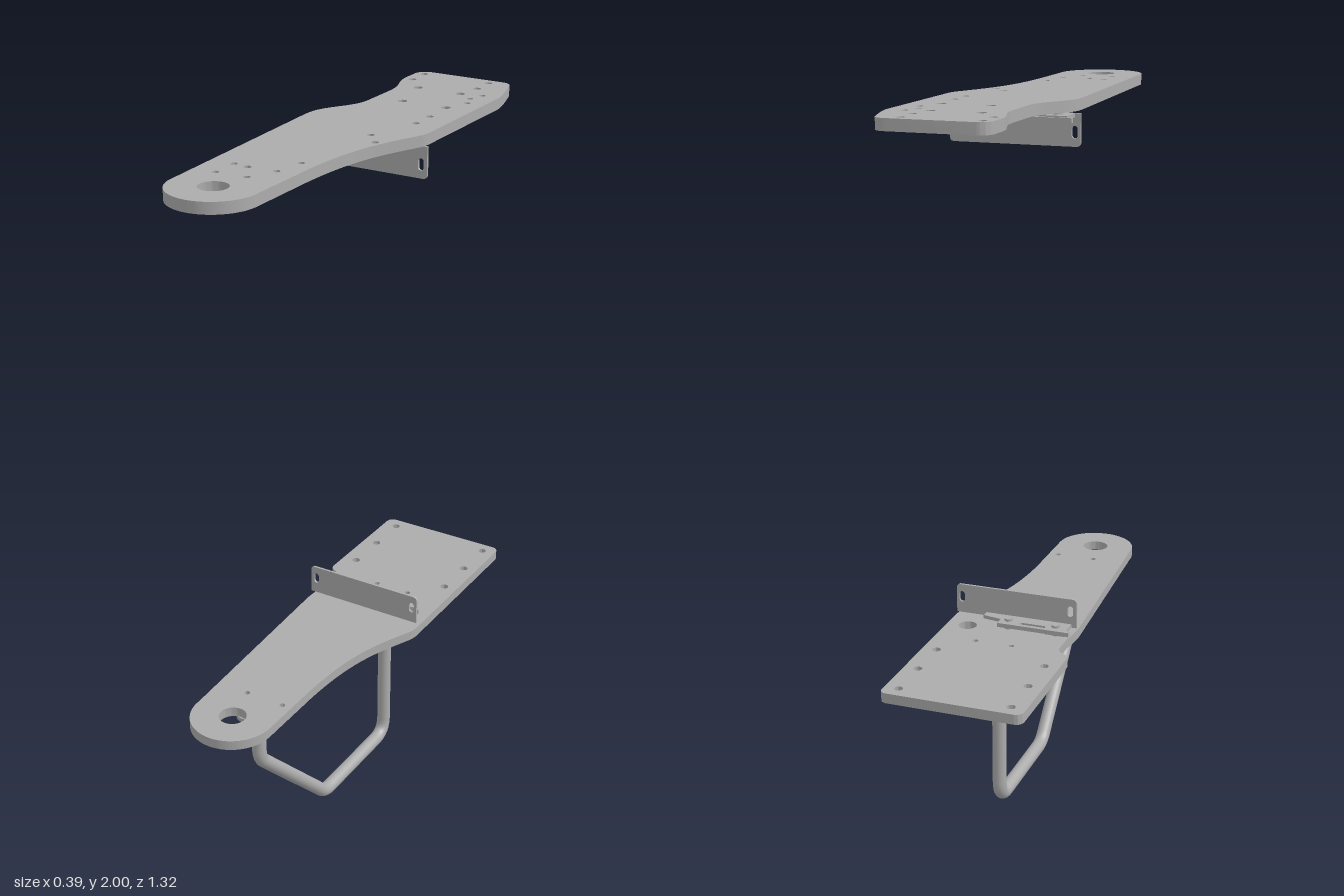
import * as THREE from 'three';
import { toCreasedNormals } from 'three/addons/utils/BufferGeometryUtils.js';

const grey = new THREE.MeshStandardMaterial({ color: 0xacacac });
grey.name = 'plain grey';

function part(parent, name, geometry, x = 0, y = 0, z = 0) {
  const mesh = new THREE.Mesh(geometry, grey);
  mesh.name = name;
  mesh.position.set(x, y, z);
  parent.add(mesh);
  return mesh;
}

function addHoles(shape, list) {
  for (const [x, z, r] of list) {
    const hole = new THREE.Path();
    hole.absarc(x, z, r, 0, Math.PI * 2, false);
    shape.holes.push(hole);
  }
}

// Lays an (x, z) outline flat, with its upper face at y = 0
function flatPlate(shape, thickness) {
  const g = new THREE.ExtrudeGeometry(shape, { depth: thickness, bevelEnabled: false, curveSegments: 16 });
  return toCreasedNormals(g.rotateX(Math.PI / 2), 0.6);
}

// Shared front half: rounded nose and the swept right-hand edge
function noseOutline(shape) {
  shape.lineTo(-0.135, 0.53);
  shape.absarc(-0.018, 0.538, 0.117, Math.PI, 0, true);
  shape.lineTo(0.099, 0.33);
  shape.bezierCurveTo(0.102, 0.1, 0.15, 0.02, 0.188, -0.07);
  shape.quadraticCurveTo(0.195, -0.085, 0.195, -0.11);
}

function upperPlateShape() {
  const s = new THREE.Shape();
  s.moveTo(-0.1, -0.66);
  s.quadraticCurveTo(-0.132, -0.655, -0.132, -0.62);
  s.lineTo(-0.132, -0.58);
  s.bezierCurveTo(-0.13, -0.5, -0.098, -0.5, -0.098, -0.41);
  s.lineTo(-0.098, -0.3);
  s.bezierCurveTo(-0.098, -0.23, -0.15, -0.2, -0.165, -0.14);
  s.quadraticCurveTo(-0.17, -0.12, -0.168, -0.08);
  noseOutline(s);
  s.lineTo(0.195, -0.5);
  s.bezierCurveTo(0.185, -0.56, 0.17, -0.6, 0.162, -0.63);
  s.quadraticCurveTo(0.155, -0.66, 0.125, -0.66);
  s.closePath();
  addHoles(s, [
    [-0.018, 0.54, 0.038],
    [-0.105, -0.63, 0.011], [0.098, -0.63, 0.011], [-0.105, -0.56, 0.011], [0.098, -0.56, 0.011],
    [-0.047, -0.487, 0.013], [0.084, -0.487, 0.013], [-0.014, -0.34, 0.013], [0.117, -0.34, 0.013],
    [0.145, -0.5, 0.009], [0.13, -0.455, 0.009], [0.145, -0.41, 0.009],
    [0.123, -0.24, 0.01], [0.123, -0.165, 0.01], [0.078, -0.012, 0.01], [0.12, 0.04, 0.01],
    [0.058, 0.283, 0.009], [0.043, 0.368, 0.009], [-0.035, 0.375, 0.01],
    [-0.077, 0.37, 0.009], [-0.077, 0.447, 0.009], [0.008, 0.442, 0.009],
  ]);
  return s;
}

function lowerPlateShape() {
  const s = new THREE.Shape();
  s.moveTo(-0.175, -0.643);
  s.quadraticCurveTo(-0.2, -0.643, -0.2, -0.618);
  s.lineTo(-0.2, -0.285);
  s.bezierCurveTo(-0.2, -0.255, -0.16, -0.265, -0.16, -0.225);
  s.lineTo(-0.16, -0.16);
  s.quadraticCurveTo(-0.168, -0.13, -0.168, -0.08);
  noseOutline(s);
  s.lineTo(0.195, -0.618);
  s.quadraticCurveTo(0.195, -0.643, 0.17, -0.643);
  s.closePath();
  const holes = [
    [-0.018, 0.54, 0.038], [0.135, -0.17, 0.026],
    [-0.045, 0.43, 0.008], [0.07, 0.43, 0.008],
    [-0.03, -0.26, 0.008], [0.076, -0.26, 0.008],
  ];
  for (const x of [-0.158, 0.155]) for (const z of [-0.605, -0.478, -0.35]) holes.push([x, z, 0.012]);
  addHoles(s, holes);
  return s;
}

// Upright sheet with a slot at each end, on a stepped foot; local y = 0 is the plate face
function makeBracket(name) {
  const bracket = new THREE.Group();
  bracket.name = name;
  const [l, r, b, t, c] = [-0.17, 0.19, 0.012, 0.097, 0.012];
  const s = new THREE.Shape();
  s.moveTo(l, b);
  s.lineTo(r, b);
  s.lineTo(r, t - c);
  s.quadraticCurveTo(r, t, r - c, t);
  s.lineTo(l + c, t);
  s.quadraticCurveTo(l, t, l, t - c);
  s.closePath();
  for (const x of [-0.152, 0.174]) {
    const slot = new THREE.Path();
    slot.absarc(x, 0.068, 0.008, 0, Math.PI, false);
    slot.absarc(x, 0.052, 0.008, Math.PI, Math.PI * 2, false);
    slot.closePath();
    s.holes.push(slot);
  }
  const sheet = new THREE.ExtrudeGeometry(s, { depth: 0.007, bevelEnabled: false, curveSegments: 8 });
  part(bracket, 'bracketSheet', toCreasedNormals(sheet, 0.6), 0, 0, -0.113);

  // Foot with a narrow middle and wider tabs
  const f = new THREE.Shape();
  [[-0.155, -0.108], [0.1, -0.108], [0.1, -0.135], [0.045, -0.145], [0.045, -0.165],
    [-0.01, -0.165], [-0.02, -0.15], [-0.09, -0.15], [-0.1, -0.18], [-0.155, -0.18]]
    .forEach(([x, z], i) => (i ? f.lineTo(x, z) : f.moveTo(x, z)));
  f.closePath();
  part(bracket, 'bracketFoot', flatPlate(f, 0.01), 0, 0.022, 0);
  part(bracket, 'footBar', new THREE.BoxGeometry(0.21, 0.012, 0.012), -0.065, 0.022, -0.18);
  for (const x of [-0.12, 0.02]) {
    part(bracket, 'footSpacer', new THREE.CylinderGeometry(0.014, 0.014, 0.014, 16), x, 0.006, -0.145);
    part(bracket, 'footBolt', new THREE.CylinderGeometry(0.012, 0.012, 0.008, 6), x, 0.025, -0.145);
  }
  return bracket;
}

// Bent tube handle in the plane x = LEG_X
const LEG_X = 0.023;
function legGeometry() {
  const corners = [[0.49, 0.477], [0.36, 0.477], [0.022, 0.14], [0.022, -0.218], [0.49, -0.218]]
    .map(([y, z]) => new THREE.Vector3(LEG_X, y, z));
  const bends = [0, 0.03, 0.03, 0.055, 0];
  const path = new THREE.CurvePath();
  let from = corners[0];
  for (let i = 1; i < corners.length; i++) {
    const p = corners[i];
    if (i === corners.length - 1) { path.add(new THREE.LineCurve3(from, p)); break; }
    const toward = q => p.clone().add(q.clone().sub(p).setLength(bends[i]));
    const start = toward(corners[i - 1]);
    const end = toward(corners[i + 1]);
    path.add(new THREE.LineCurve3(from, start));
    path.add(new THREE.QuadraticBezierCurve3(start, p, end));
    from = end;
  }
  return new THREE.TubeGeometry(path, 160, 0.02, 20, false);
}

export function createModel() {
  const model = new THREE.Group();
  model.name = 'plateAssembly';

  // Upper plate with its bracket hanging below
  const upper = new THREE.Group();
  upper.name = 'upperAssembly';
  part(upper, 'upperPlate', flatPlate(upperPlateShape(), 0.03), 0, 2, 0);
  const hanging = makeBracket('upperBracket');
  // Flip about the plate face while keeping the sheet on the same side
  hanging.rotation.z = Math.PI;
  hanging.position.set(0.02, 1.974, 0);
  hanging.children.forEach(m => {
    if (m.name === 'bracketSheet') return;
    m.rotation.z = Math.PI;
    m.position.set(0.02 - m.position.x, m.position.y - (m.name === 'bracketFoot' ? 0.01 : 0), m.position.z);
  });
  upper.add(hanging);

  // Lower plate with its bracket on top and tube leg underneath
  const lower = new THREE.Group();
  lower.name = 'lowerAssembly';
  part(lower, 'lowerPlate', flatPlate(lowerPlateShape(), 0.028), 0, 0.526, 0);
  const standing = makeBracket('lowerBracket');
  standing.position.y = 0.526;
  lower.add(standing);
  part(lower, 'tubeLeg', legGeometry());

  // Oval mounting flanges at the tube ends
  for (const z of [0.477, -0.218]) {
    const s = new THREE.Shape();
    s.absarc(LEG_X + 0.036, z, 0.03, -Math.PI / 2, Math.PI / 2, false);
    s.absarc(LEG_X - 0.036, z, 0.03, Math.PI / 2, Math.PI * 1.5, false);
    s.closePath();
    addHoles(s, [[LEG_X - 0.045, z, 0.008], [LEG_X + 0.045, z, 0.008]]);
    part(lower, 'legFlange', flatPlate(s, 0.012), 0, 0.499, 0);
  }

  model.add(upper, lower);
  return model;
}
